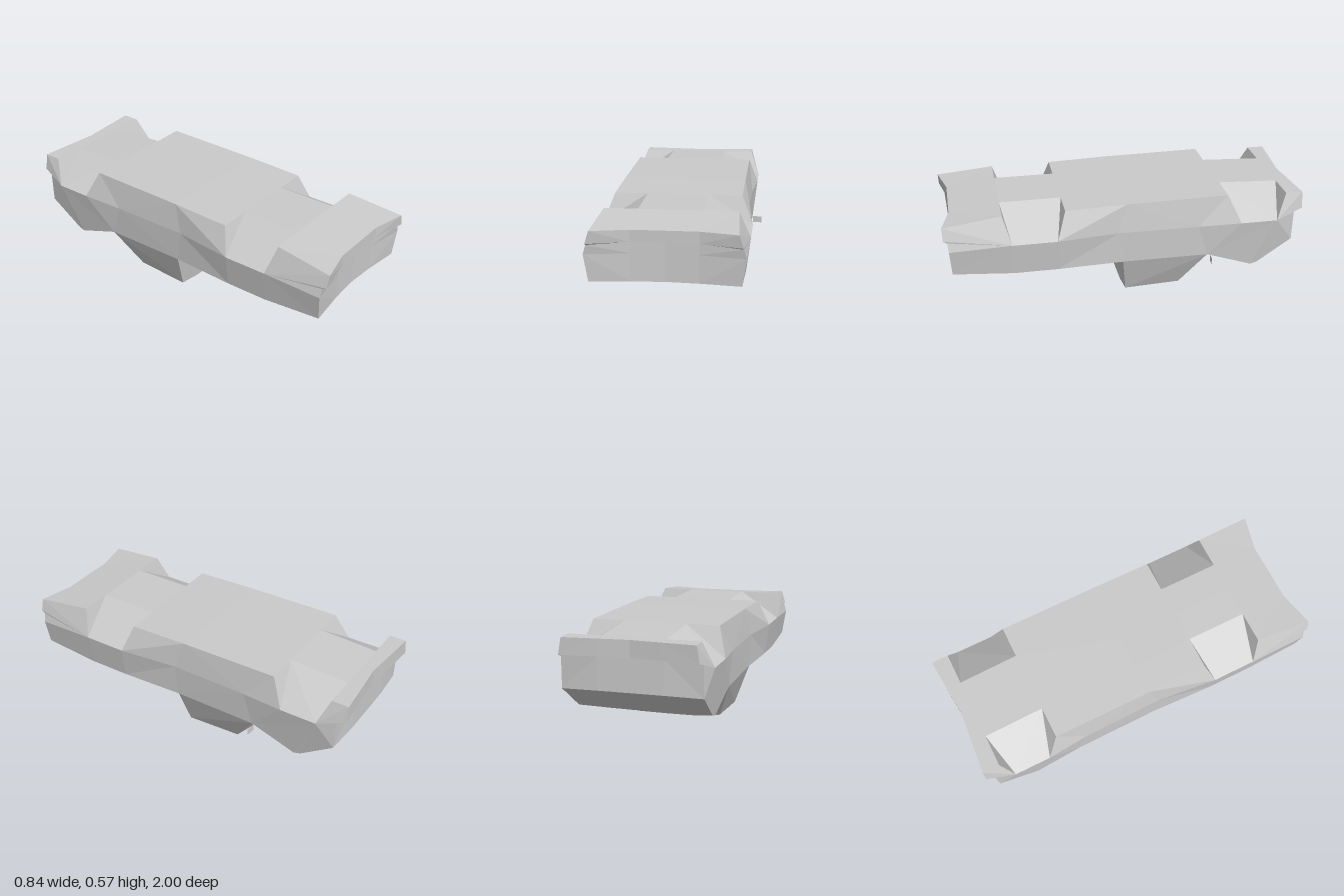
import * as THREE from 'three';

// cross row from the centre line out to the edge: [centre, mid, edge]
const row = (xe, ye, ze, yc = ye, zc = ze, za = zc) => [[0, yc, zc], [0.17, yc, za], [xe, ye, ze]];

// collects polygons of the +x half and mirrors them
function halfMesh(name, material, polys) {
  const pos = [];
  for (const p of polys) {
    for (let i = 1; i < p.length - 1; i++) {
      const t = [p[0], p[i], p[i + 1]];
      t.forEach(([x, y, z]) => pos.push(x, y, z));
      [t[0], t[2], t[1]].forEach(([x, y, z]) => pos.push(-x, y, z));
    }
  }
  const g = new THREE.BufferGeometry();
  g.setAttribute('position', new THREE.Float32BufferAttribute(pos, 3));
  g.computeVertexNormals();
  const mesh = new THREE.Mesh(g, material);
  mesh.name = name;
  return mesh;
}

// faces between consecutive rows
function loft(rows, columns = 2) {
  const out = [];
  for (let r = 0; r < rows.length - 1; r++) {
    for (let i = 0; i < columns; i++) {
      out.push([rows[r][i], rows[r][i + 1], rows[r + 1][i + 1], rows[r + 1][i]]);
    }
  }
  return out;
}

export function createModel() {
  const grey = new THREE.MeshStandardMaterial({ color: 0xcacaca, flatShading: true, side: THREE.DoubleSide });
  grey.name = 'grey';
  const model = new THREE.Group();
  model.name = 'carShell';
  const shell = new THREE.Group();
  shell.name = 'shell';
  shell.position.x = -0.0125;
  model.add(shell);

  // front end, bottom to top
  const frontBottom = row(0.38, 0.244, 0.96, 0.244, 0.925, 0.935);
  const frontMid = row(0.402, 0.387, 0.97, 0.39, 0.925, 0.935);
  const frontStep = row(0.387, 0.437, 0.975, 0.448, 0.925, 0.935);
  const lipBottom = row(0.387, 0.448, 0.997, 0.453, 0.955);
  const lipTop = row(0.366, 0.515, 1, 0.515, 0.955);
  // flat deck, front to back
  const deck1 = row(0.348, 0.55, 0.68);
  const deck2 = row(0.348, 0.55, 0.34);
  const deckMid = row(0.348, 0.56, 0);
  const deck3 = row(0.348, 0.566, -0.568);
  const deck4 = row(0.348, 0.55, -0.905);
  // rear end, top to bottom: hollow lip over a bowed lower panel
  const rearTop = row(0.348, 0.55, -1, 0.55, -0.97, -0.985);
  const rearLip = row(0.364, 0.46, -1, 0.46, -0.97, -0.985);
  const rearStep = row(0.37, 0.463, -0.952, 0.463, -0.955);
  const rearLow = row(0.372, 0.275, -0.945, 0.28, -0.958);
  const rearEdge = row(0.363, 0.14, -0.755, 0.145, -0.79, -0.783);
  const rearBottom = row(0.365, 0.13, -0.715, 0.138, -0.76, -0.75);
  // cabin, back to front, with a bowed rear window
  const cabinRear = row(0.372, 0.221, -0.455, 0.224, -0.492, -0.485);
  const roofRear = row(0.285, 0.016, -0.315, 0.007, -0.342, -0.338);
  const roofFront = row(0.295, 0.01, -0.002, 0, 0.004);
  const cabinFront = row(0.369, 0.221, 0.026, 0.221, 0.032);
  // recess under the front
  const ceilingRear = row(0.288, 0.33, 0.03);
  const ceilingFront = row(0.25, 0.33, 0.85);
  const recessFront = row(0.328, 0.241, 0.9);

  // side points: shoulders and lower edges
  const s1 = [0.408, 0.4, 0.635], s2 = [0.408, 0.4, 0.39], sm = [0.37, 0.4, 0.05];
  const sr = [0.375, 0.4, -0.4], s3 = [0.398, 0.41, -0.64], s4 = [0.398, 0.41, -0.845];
  const l1 = [0.385, 0.221, 0.63], l2 = [0.385, 0.221, 0.39];
  const e = 2, lm = cabinFront[e], l3 = cabinRear[e];

  // wheel cut-out: sloping floor and two triangular walls
  const arch = (f, r, shoulderF, shoulderR) => [
    [f[1], shoulderF, shoulderR, r[1]], [f[1], f[e], shoulderF], [r[1], shoulderR, r[e]],
  ];

  shell.add(halfMesh('frontEnd', grey,
    loft([frontBottom, frontMid, frontStep, lipBottom, lipTop, deck1])));
  shell.add(halfMesh('deck', grey, [
    ...loft([deck1, deck2], 1), ...loft([deck2, deckMid, deck3]), ...loft([deck3, deck4], 1),
  ]));
  shell.add(halfMesh('frontWheelArches', grey, arch(deck1, deck2, s1, s2)));
  shell.add(halfMesh('rearWheelArches', grey, arch(deck3, deck4, s3, s4)));
  shell.add(halfMesh('rearEnd', grey,
    loft([deck4, rearTop, rearLip, rearStep, rearLow, rearEdge, rearBottom, cabinRear])));

  shell.add(halfMesh('sidePanels', grey, [
    [frontBottom[e], l1, s1, frontMid[e]],
    [s1, deck1[e], lipTop[e], lipBottom[e], frontStep[e], frontMid[e]],
    [l1, l2, s2, s1],
    [l2, lm, sm, s2],
    [s2, sm, deckMid[e], deck2[e]],
    [lm, l3, sr, sm],
    [deckMid[e], sm, sr, deck3[e]],
    [l3, s3, sr],
    [sr, s3, deck3[e]],
    [l3, rearBottom[e], s4, s3],
    [s4, rearBottom[e], rearEdge[e], rearLow[e], rearStep[e]],
    [s4, rearStep[e], rearLip[e], rearTop[e], deck4[e]],
  ]));

  shell.add(halfMesh('cabin', grey, [
    ...loft([cabinRear, roofRear, roofFront, cabinFront]),
    [roofFront[e], roofRear[e], cabinRear[e], cabinFront[e]],
  ]));

  // hollow front with a rim that widens towards the cabin
  const i1 = [0.33, 0.221, 0.63], i2 = [0.315, 0.221, 0.39], im = [0.3, 0.221, 0.03];
  shell.add(halfMesh('frontRecess', grey, [
    ...loft([cabinFront, ceilingRear, ceilingFront, recessFront, frontBottom]),
    [ceilingRear[e], im, i2, i1, recessFront[e], ceilingFront[e]],
    [frontBottom[e], recessFront[e], i1, l1],
    [l1, i1, i2, l2],
    [l2, i2, im, lm],
  ]));

  // small flat mirror on one side
  const mirror = new THREE.Mesh(new THREE.PlaneGeometry(0.054, 0.038), grey);
  mirror.name = 'sideMirror';
  mirror.position.set(0.393, 0.204, -0.469);
  mirror.rotation.y = -0.12;
  model.add(mirror);

  return model;
}
